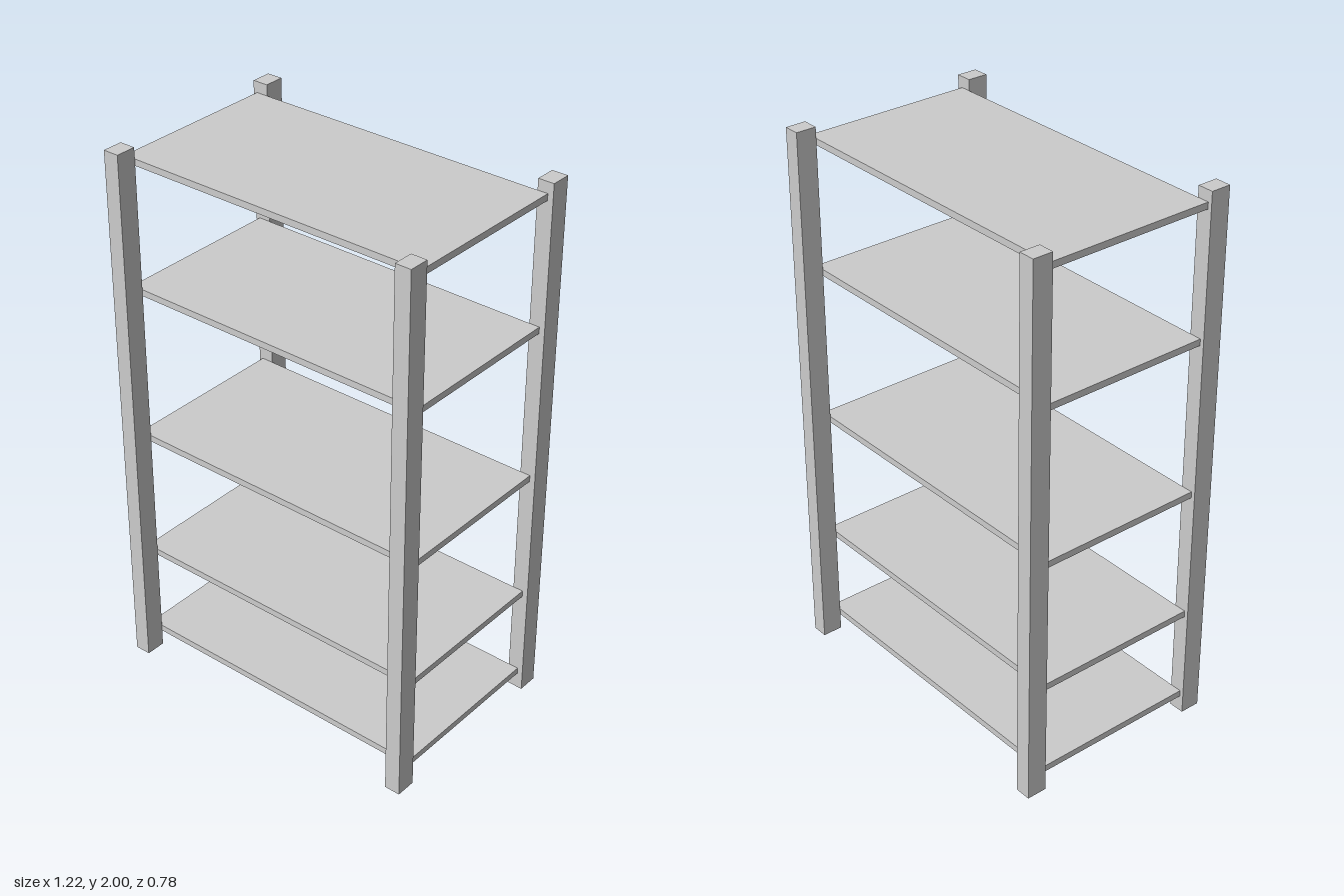
import * as THREE from 'three';

export function createModel() {
  const group = new THREE.Group();
  const material = new THREE.MeshStandardMaterial({ color: 0xcccccc, flatShading: true });

  function addBox(name, size, position) {
    const mesh = new THREE.Mesh(new THREE.BoxGeometry(...size), material);
    mesh.name = name;
    mesh.position.set(...position);
    group.add(mesh);
  }

  // Four corner posts, full height
  for (const x of [-1, 1]) {
    for (const z of [-1, 1]) {
      const name = (z > 0 ? 'front' : 'back') + (x > 0 ? 'Left' : 'Right') + 'Post';
      addBox(name, [0.059, 2, 0.075], [x * 0.582, 1, z * 0.354]);
    }
  }

  // Five shelves held between the front and back posts
  const shelfHeights = [0.073, 0.418, 0.903, 1.476, 1.948];
  shelfHeights.forEach((y, i) => {
    addBox(`shelf${i + 1}`, [1.188, 0.024, 0.633], [-0.003, y, 0]);
  });

  return group;
}
